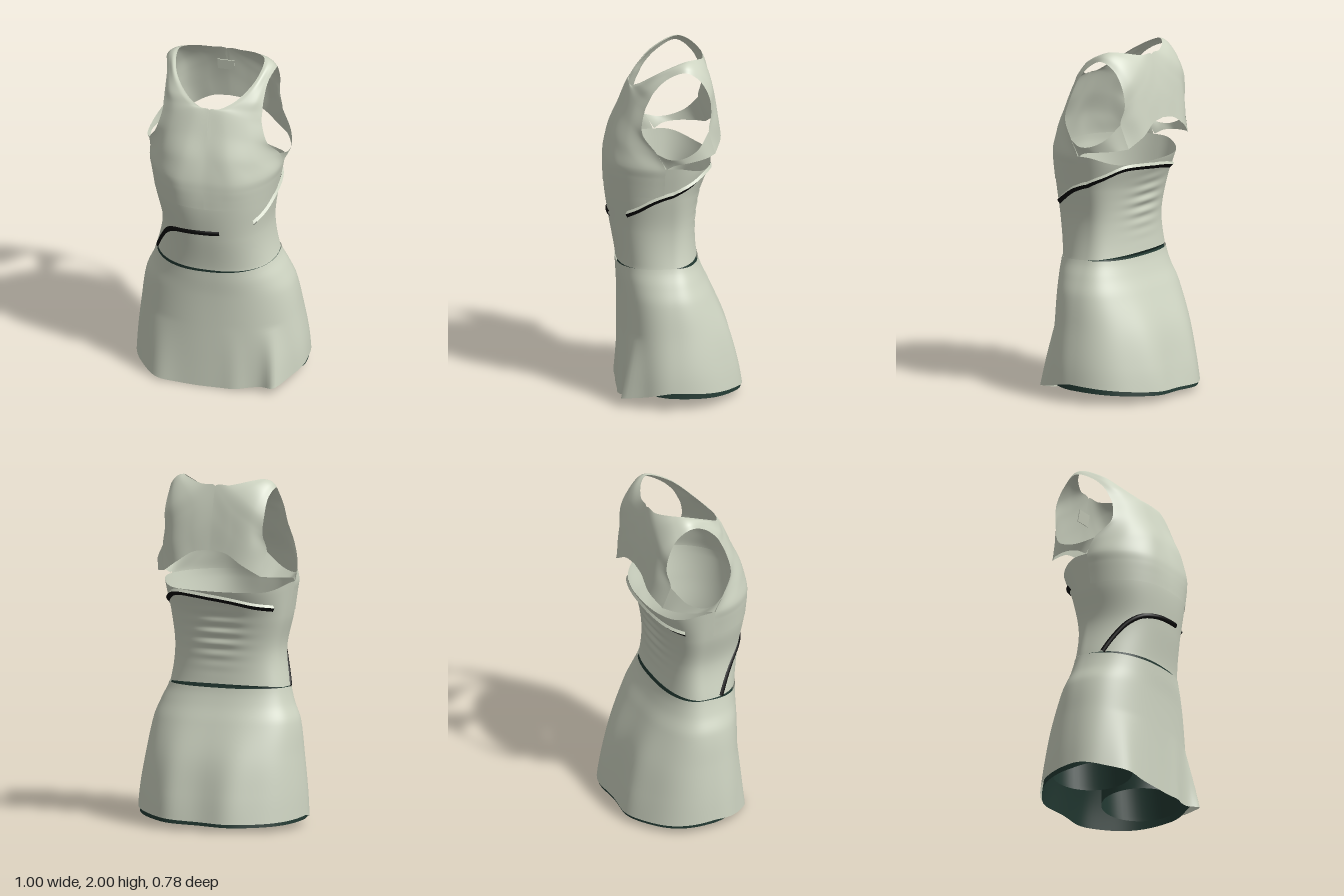
import * as THREE from 'three';
import { mergeGeometries, mergeVertices } from 'three/addons/utils/BufferGeometryUtils.js';

const V = (x, y, z) => new THREE.Vector3(x, y, z);
const gauss = (d, w) => Math.exp(-((d / w) ** 2));
const clamp = THREE.MathUtils.clamp;

// body sections: height, centre x, half width, front z, back z
const SECTIONS = [
  [0, 0, 0.498, 0.315, -0.376], [0.2, 0, 0.486, 0.312, -0.338], [0.4, -0.005, 0.46, 0.31, -0.29],
  [0.6, -0.01, 0.428, 0.312, -0.21], [0.7, -0.01, 0.387, 0.318, -0.165], [0.8, -0.02, 0.35, 0.325, -0.135],
  [1.0, -0.02, 0.32, 0.36, -0.125], [1.2, -0.03, 0.35, 0.388, -0.155], [1.35, -0.03, 0.375, 0.385, -0.215],
  [1.42, -0.03, 0.386, 0.376, -0.23],
];

// smooth interpolation of the sections
function section(y) {
  const S = SECTIONS, n = S.length;
  let i = 0;
  while (i < n - 2 && y > S[i + 1][0]) i++;
  const a = S[i], b = S[i + 1], p = S[Math.max(i - 1, 0)], q = S[Math.min(i + 2, n - 1)];
  const h = b[0] - a[0], t = clamp((y - a[0]) / h, 0, 1), t2 = t * t, t3 = t2 * t;
  return [1, 2, 3, 4].map((k) => {
    const m0 = (b[k] - p[k]) / (b[0] - p[0]) * h, m1 = (q[k] - a[k]) / (q[0] - a[0]) * h;
    return (2 * t3 - 3 * t2 + 1) * a[k] + (t3 - 2 * t2 + t) * m0 + (3 * t2 - 2 * t3) * b[k] + (t3 - t2) * m1;
  });
}

// point on the body; angle 0 is +x, 90 degrees is the front
function body(t, y, off = 0) {
  const [cx, hw, zf, zb] = section(y), zc = 0.03, e = 2 / 2.35;
  const c = Math.cos(t), s = Math.sin(t);
  const x = (hw + off) * Math.sign(c) * Math.abs(c) ** e;
  const depth = (s > 0 ? zf - zc : zc - zb) + off;
  let z = zc + depth * Math.sign(s) * Math.abs(s) ** e;
  const sides = gauss(Math.abs(x) - 0.19, 0.11);
  if (s > 0) {
    z += 0.018 * sides * gauss(y - 1.4, 0.14) * s; // bust
    const low = clamp(1 - y / 0.4, 0, 1), deg = t * 180 / Math.PI; // skirt folds
    z += low * (0.085 * gauss(deg - 46, 10) + 0.012 * gauss(deg - 78, 6) + 0.035 * gauss(deg - 128, 14));
  } else {
    z -= 0.03 * sides * gauss(y - 0.15, 0.35) * -s; // seat
    z += 0.006 * Math.sin(y * 95) * gauss(x, 0.13) * gauss(y - 1.1, 0.13); // back creases
  }
  return V(cx + x, y, z);
}

// grid surface from a point function of u and v in 0..1
function grid(fn, nu, nv, flip = false) {
  const pos = [], idx = [];
  for (let j = 0; j <= nv; j++) for (let i = 0; i <= nu; i++) pos.push(...fn(i / nu, j / nv).toArray());
  for (let j = 0; j < nv; j++) for (let i = 0; i < nu; i++) {
    const a = j * (nu + 1) + i, b = a + 1, c = a + nu + 1, d = c + 1;
    if (flip) idx.push(a, b, c, b, d, c); else idx.push(a, c, b, b, c, d);
  }
  const g = new THREE.BufferGeometry();
  g.setAttribute('position', new THREE.Float32BufferAttribute(pos, 3));
  g.setIndex(idx);
  return g;
}

function smooth(...parts) {
  const g = mergeVertices(mergeGeometries(parts), 1e-4);
  g.computeVertexNormals();
  return g;
}

// closed shell around the body between two edge rules
function shell(low, high, off, nv) {
  return smooth(grid((u, v) => {
    const t = u * Math.PI * 2;
    return body(t, THREE.MathUtils.lerp(low(t), high(t), v), off);
  }, 120, nv));
}

// mirrored pair of sheets through rows of control points, x measured from the centre line
function pairedSheet(rows, nu, nv) {
  const across = rows.map((r) => new THREE.CatmullRomCurve3(r));
  const columns = [];
  for (let i = 0; i <= nu; i++) {
    columns.push(new THREE.CatmullRomCurve3(across.map((c) => c.getPoint(i / nu))));
  }
  const half = (sx) => grid((u, v) => {
    const p = columns[Math.round(u * nu)].getPoint(v);
    return V(-0.03 + sx * p.x, p.y, p.z);
  }, nu, nv, sx > 0);
  return smooth(half(1), half(-1));
}

export function createModel() {
  const group = new THREE.Group();
  group.name = 'dress';
  const mat = (name, color) => {
    const m = new THREE.MeshStandardMaterial({ color, side: THREE.DoubleSide });
    m.name = name;
    return m;
  };
  const sage = mat('sage fabric', 0xced4c2);
  const green = mat('dark green lining', 0x233a33);
  const black = mat('black piping', 0x0a0a0a);
  const add = (name, geo, m) => {
    const mesh = new THREE.Mesh(geo, m);
    mesh.name = name;
    group.add(mesh);
    return mesh;
  };
  const front = (t) => Math.max(0, Math.sin(t));
  const back = (t) => Math.max(0, -Math.sin(t));

  // skirt with a wavy hem and a waist edge dipping toward one side
  const hem = (t) => 0.085 + 0.02 * Math.cos(t) - 0.085 * front(t) ** 1.4 - 0.035 * back(t);
  const skirtTop = (t) => 0.798 - 0.018 * front(t) - 0.018 * front(t - 0.5) ** 2 - 0.006 * back(t);
  add('skirt', shell(hem, skirtTop, 0.004, 40), sage);

  // bodice, ending below the open back
  const bodiceLow = (t) => 0.796 - 0.018 * front(t) + 0.018 * back(t);
  const bodiceTop = (t) => 1.4 - 0.045 * THREE.MathUtils.smoothstep(back(t), 0, 0.8);
  add('bodice', shell(bodiceLow, bodiceTop, 0, 70), sage);

  // upper front, shoulder straps and back yoke in one sweep, from centre to armhole
  const chestRows = [1.22, 1.28, 1.34, 1.4].map((y) => [90, 80, 69, 58, 47, 36, 25, 15, 5].map((d) => {
    const p = body(d * Math.PI / 180, y, 0.003);
    return V(p.x + 0.03, p.y, p.z);
  }));
  const rows = [
    [[0, 1.53, 0.35], [0.14, 1.53, 0.352], [0.27, 1.51, 0.285], [0.38, 1.49, 0.12]],
    [[0, 1.66, 0.305], [0.12, 1.66, 0.3], [0.23, 1.64, 0.265], [0.325, 1.6, 0.2]],
    [[0, 1.8, 0.25], [0.1, 1.79, 0.25], [0.21, 1.75, 0.23], [0.29, 1.72, 0.183]],
    [[0.055, 1.806, 0.24], [0.13, 1.81, 0.228], [0.22, 1.79, 0.205], [0.288, 1.77, 0.162]],
    [[0.14, 1.845, 0.195], [0.19, 1.85, 0.185], [0.25, 1.84, 0.165], [0.288, 1.83, 0.13]],
    [[0.23, 1.93, 0.09], [0.25, 1.93, 0.09], [0.275, 1.92, 0.07], [0.295, 1.91, 0.05]],
    [[0.25, 1.995, -0.05], [0.275, 1.99, -0.05], [0.3, 1.975, -0.05], [0.32, 1.95, -0.05]],
    [[0.2, 1.99, -0.11], [0.24, 1.97, -0.125], [0.28, 1.94, -0.13], [0.31, 1.9, -0.13]],
    [[0.09, 1.965, -0.165], [0.17, 1.91, -0.19], [0.25, 1.85, -0.2], [0.31, 1.8, -0.185]],
    [[0, 1.957, -0.175], [0.12, 1.83, -0.216], [0.23, 1.76, -0.222], [0.305, 1.7, -0.196]],
    [[0, 1.78, -0.222], [0.12, 1.7, -0.24], [0.24, 1.63, -0.237], [0.325, 1.6, -0.18]],
    [[0, 1.6, -0.252], [0.1, 1.585, -0.256], [0.2, 1.525, -0.26], [0.3, 1.46, -0.22]],
  ].map((r) => r.map((p) => V(...p)));
  add('upperBodiceAndYoke', pairedSheet([...chestRows, ...rows], 32, 140), sage);

  // narrow bands under the armholes
  const bandTop = [[0.325, 1.6, -0.18], [0.39, 1.51, -0.11], [0.415, 1.468, -0.02], [0.41, 1.465, 0.05], [0.38, 1.49, 0.12]];
  const bandLow = [[0.3, 1.46, -0.22], [0.36, 1.45, -0.16], [0.405, 1.438, -0.05], [0.4, 1.425, 0.02], [0.385, 1.4, 0.065]];
  add('underarmBands', pairedSheet(bandTop.map((p, i) => [V(...p), V(...bandLow[i])]), 4, 30), sage);

  // neck label inside the yoke
  const label = add('neckLabel', new THREE.BoxGeometry(0.1, 0.07, 0.004), sage);
  label.position.set(-0.04, 1.835, -0.2);
  label.rotation.x = 0.2;

  // shorts lining: outer shell showing under the side and back hem
  const liningLow = (t) => 0.055 + 0.015 * Math.cos(t) + 0.035 * front(t) - 0.026 * back(t);
  add('shortsShell', shell(liningLow, () => 0.8, -0.008, 24), green);

  // crotch panel with leg openings, and legs
  const LEG = { x: 0.25, z: 0, a: 0.22, b: 0.23 }, crotchY = 0.32;
  const outline = [];
  for (let i = 0; i < 64; i++) {
    const p = body(i / 64 * Math.PI * 2, crotchY, -0.01);
    outline.push(new THREE.Vector2(p.x, -p.z));
  }
  const panel = new THREE.Shape(outline);
  for (const sx of [-1, 1]) {
    panel.holes.push(new THREE.Path().absellipse(sx * LEG.x * 0.96, -LEG.z, LEG.a * 0.9, LEG.b, 0, Math.PI * 2, true));
    const leg = grid((u, v) => {
      const t = u * Math.PI * 2, k = 0.9 + 0.1 * (1 - v);
      return V(sx * LEG.x * (1 - 0.04 * v) + LEG.a * k * Math.cos(t), 0.1 + v * (crotchY - 0.1), LEG.z + LEG.b * Math.sin(t));
    }, 48, 8);
    add(sx > 0 ? 'leftShortsLeg' : 'rightShortsLeg', smooth(leg), green);
  }
  const crotch = add('crotchPanel', new THREE.ShapeGeometry(panel, 32), green);
  crotch.rotation.x = -Math.PI / 2;
  crotch.position.y = crotchY;

  // path on the body: angle in degrees, height
  const path = (points) => new THREE.CatmullRomCurve3(points.map(([d, y]) => V(d * Math.PI / 180, y, 0)));

  // raised piping sweeping up across the front
  const frontPath = path([[162, 0.79], [153, 0.88], [142, 0.96], [127, 1.015], [108, 1.04], [79, 1.055]]).getPoints(30);
  const frontCurve = new THREE.CatmullRomCurve3(frontPath.map((p) => body(p.x, p.y, -0.006)));
  add('frontPiping', new THREE.TubeGeometry(frontCurve, 80, 0.0165, 10), black);

  // folded seam winding around the side and back, black on its underside
  const seam = path([[43, 1.08], [28, 1.122], [12, 1.18], [-4, 1.225], [-25, 1.265], [-50, 1.312],
    [-75, 1.31], [-100, 1.285], [-125, 1.255], [-150, 1.24]]);
  const fold = (low, high, outLow, outHigh) => smooth(grid((u, v) => {
    const p = seam.getPoint(u), lerp = THREE.MathUtils.lerp;
    return body(p.x, p.y + lerp(low, high, v), lerp(outLow, outHigh, v));
  }, 100, 1, true));
  add('seamUnderside', fold(0, 0.022, 0.001, 0.015), black);
  add('seamTop', fold(0.022, 0.038, 0.015, 0.001), sage);

  return group;
}
